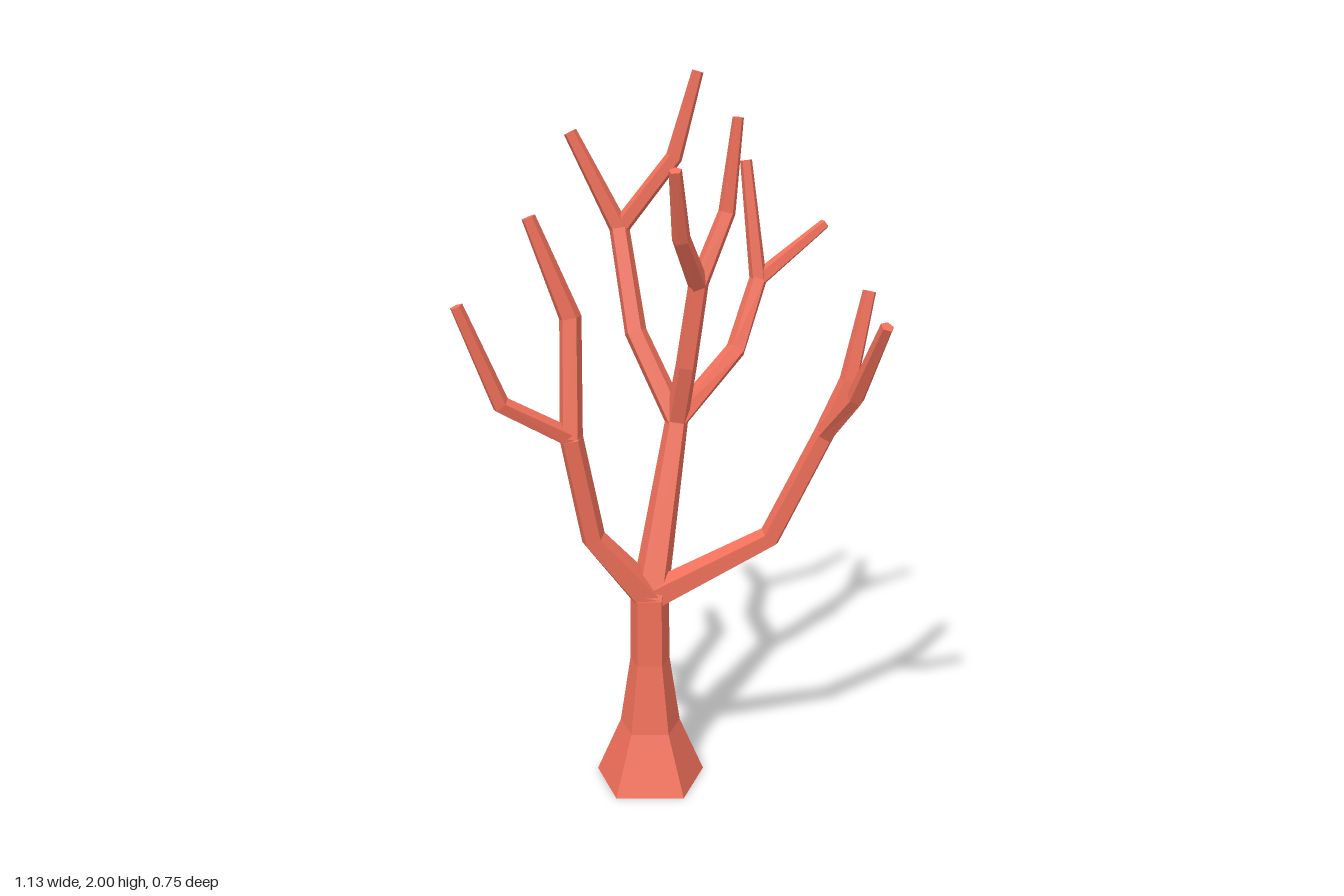
import * as THREE from 'three';

const SIDES = 5;
const material = new THREE.MeshStandardMaterial({ color: 0xf0705a, flatShading: true });

// Faceted limb through stations [x, y, z, radius], closed at both ends
function limb(name, stations) {
  const pts = stations.map(([x, y, z]) => new THREE.Vector3(x, y, z));
  const rings = pts.map((p, i) => {
    const t = new THREE.Vector3();
    if (i > 0) t.add(p.clone().sub(pts[i - 1]).normalize());
    if (i < pts.length - 1) t.add(pts[i + 1].clone().sub(p).normalize());
    t.normalize();
    const u = new THREE.Vector3(0, 0, -1).projectOnPlane(t).normalize();
    const v = new THREE.Vector3().crossVectors(t, u);
    return Array.from({ length: SIDES }, (_, k) => {
      const a = (k / SIDES) * Math.PI * 2, r = stations[i][3];
      return p.clone().addScaledVector(u, r * Math.cos(a)).addScaledVector(v, r * Math.sin(a));
    });
  });
  const tris = [];
  const last = rings.length - 1;
  for (let k = 0; k < SIDES; k++) {
    const n = (k + 1) % SIDES;
    for (let i = 0; i < last; i++) {
      const a = rings[i], b = rings[i + 1];
      tris.push(a[k], a[n], b[n], a[k], b[n], b[k]);
    }
    tris.push(pts[0], rings[0][n], rings[0][k]);
    tris.push(pts[last], rings[last][k], rings[last][n]);
  }
  const geometry = new THREE.BufferGeometry().setFromPoints(tris);
  geometry.computeVertexNormals();
  const mesh = new THREE.Mesh(geometry, material);
  mesh.name = name;
  return mesh;
}

export function createModel() {
  const tree = new THREE.Group();
  tree.name = 'bareTree';

  // Fork points shared by a parent limb and its offshoots
  const crown = [-0.055, 0.56, 0.095];
  const leftFork = [-0.265, 1.05, 0.165];
  const rightFork = [0.42, 1.05, 0.135];
  const midFork = [0.022, 1.04, -0.05];
  const upperFork = [0.08, 1.44, 0.01];
  const backLeftFork = [-0.14, 1.56, -0.205];
  const backRightFork = [0.26, 1.40, -0.28];

  const parts = {
    // Flared trunk
    trunk: [[-0.055, 0, 0.095, 0.163], [-0.055, 0.17, 0.095, 0.09],
      [-0.055, 0.37, 0.095, 0.059], [-0.055, 0.565, 0.095, 0.057]],

    // Left bough
    leftBough: [[...crown, 0.05], [-0.21, 0.75, 0.13, 0.036], [...leftFork, 0.034]],
    leftOuterBranch: [[...leftFork, 0.028], [-0.445, 1.16, 0.225, 0.026], [-0.55, 1.43, 0.25, 0.018]],
    leftInnerBranch: [[...leftFork, 0.033], [-0.265, 1.37, 0.11, 0.032], [-0.37, 1.64, 0.115, 0.02]],

    // Right bough
    rightBough: [[...crown, 0.045], [0.28, 0.75, 0.115, 0.033], [...rightFork, 0.03]],
    rightRearBranch: [[...rightFork, 0.03], [0.485, 1.2, 0.125, 0.027], [0.535, 1.44, 0.1, 0.019]],
    rightFrontBranch: [[...rightFork, 0.028], [0.49, 1.18, 0.235, 0.025], [0.548, 1.4, 0.36, 0.018]],

    // Central bough and its upper fork
    centralBough: [[...crown, 0.055], [...midFork, 0.034],
      [0.048, 1.21, -0.005, 0.031], [...upperFork, 0.029]],
    upperRightBranch: [[...upperFork, 0.028], [0.158, 1.63, -0.042, 0.025], [0.185, 1.885, -0.035, 0.016]],
    upperFrontBranch: [[...upperFork, 0.03], [0.032, 1.58, 0.11, 0.026], [0.015, 1.77, 0.19, 0.018]],

    // Rear left bough
    backLeftBough: [[...midFork, 0.035], [-0.095, 1.28, -0.125, 0.033], [...backLeftFork, 0.03]],
    backLeftOuterBranch: [[...backLeftFork, 0.029], [-0.275, 1.83, -0.205, 0.02]],
    backLeftTopBranch: [[...backLeftFork, 0.027], [0.015, 1.76, -0.205, 0.025], [0.08, 1.995, -0.205, 0.017]],

    // Rear right bough
    backRightBough: [[...midFork, 0.032], [0.195, 1.21, -0.205, 0.03], [...backRightFork, 0.027]],
    backRightUprightBranch: [[...backRightFork, 0.026], [0.222, 1.74, -0.315, 0.018]],
    backRightOuterBranch: [[...backRightFork, 0.025], [0.458, 1.55, -0.363, 0.016]],
  };
  for (const [name, stations] of Object.entries(parts)) tree.add(limb(name, stations));
  return tree;
}
